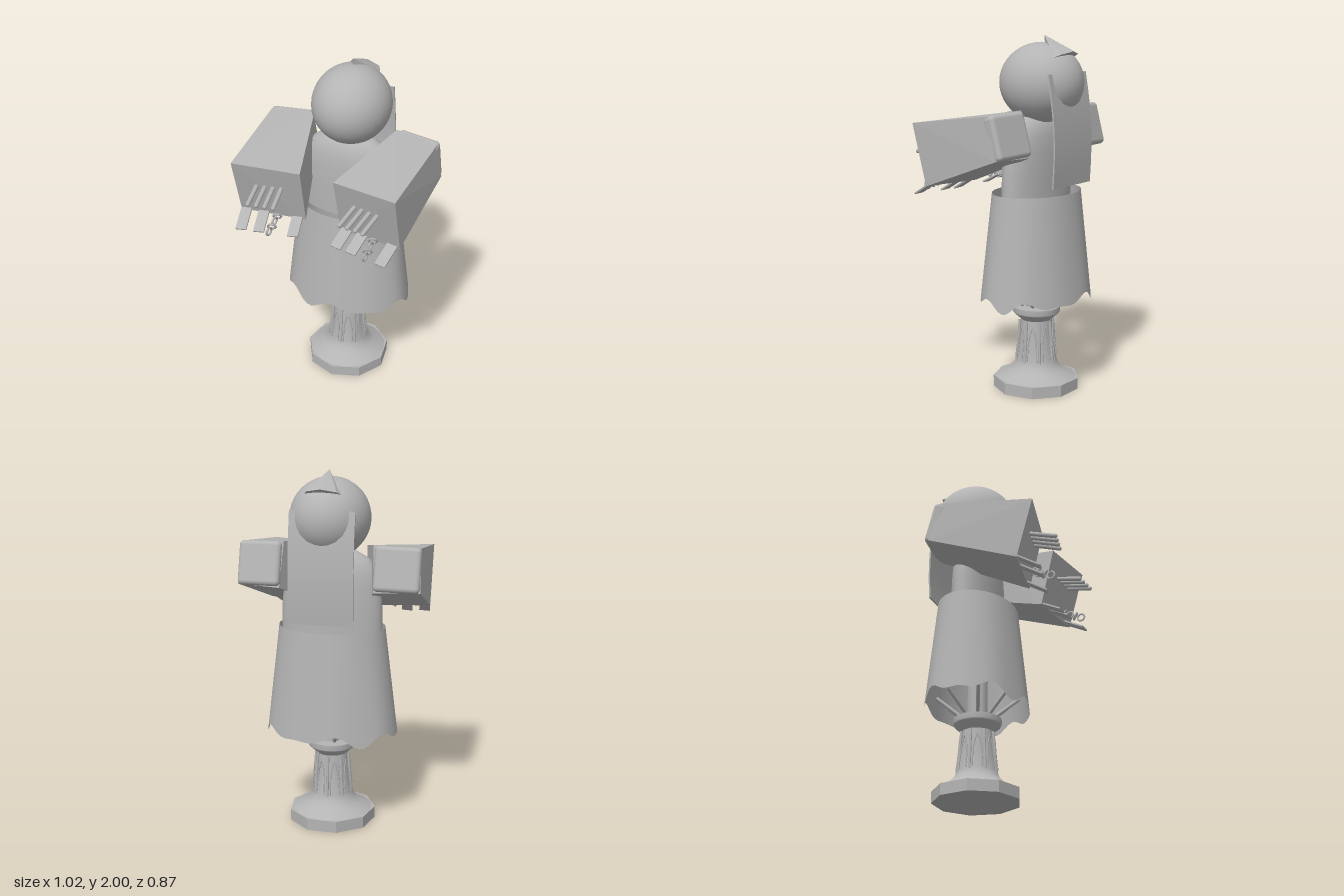
import * as THREE from 'three';
import { RoundedBoxGeometry } from 'three/addons/geometries/RoundedBoxGeometry.js';
import { ConvexGeometry } from 'three/addons/geometries/ConvexGeometry.js';

const AXIS_Z = -0.15;
const V = (x, y, z) => new THREE.Vector3(x, y, z);

export function createModel() {
  const model = new THREE.Group();
  model.name = 'robedFigureOnPedestal';
  const stone = new THREE.MeshStandardMaterial({ color: 0xb4b4b4 });
  stone.name = 'grey';
  const cloth = new THREE.MeshStandardMaterial({ color: 0xb4b4b4, side: THREE.DoubleSide });
  cloth.name = 'greySheet';

  const add = (name, geometry, x = 0, y = 0, z = 0, material = stone) => {
    const mesh = new THREE.Mesh(geometry, material);
    mesh.name = name;
    mesh.position.set(x, y, z);
    model.add(mesh);
    return mesh;
  };
  const lathe = (points, segments) =>
    new THREE.LatheGeometry(points.map(([r, y]) => new THREE.Vector2(r, y)), segments);
  const rod = (name, a, b, radius) =>
    add(name, new THREE.TubeGeometry(new THREE.LineCurve3(a, b), 1, radius, 8), 0, 0, 0, cloth);
  const around = (angle, r, y) => V(Math.sin(angle) * r, y, AXIS_Z + Math.cos(angle) * r);

  // Pedestal: slab, flared column and capital
  const slab = new THREE.CylinderGeometry(0.245, 0.245, 0.065, 9).toNonIndexed();
  slab.computeVertexNormals();
  add('pedestalSlab', slab, 0, 0.0325, AXIS_Z);
  add('pedestalColumn', lathe([[0.228, 0.064], [0.2, 0.08], [0.155, 0.105], [0.127, 0.135], [0.113, 0.17],
    [0.103, 0.24], [0.094, 0.32], [0.088, 0.4]], 18), 0, 0, AXIS_Z);
  add('pedestalCapital', lathe([[0, 0.395], [0.08, 0.395], [0.092, 0.405], [0.115, 0.425], [0.13, 0.438],
    [0.135, 0.445], [0.135, 0.475], [0.135, 0.475], [0, 0.475]], 18), 0, 0, AXIS_Z);

  // Pointed arches and slim posts around the column
  for (let i = 0; i < 8; i++) {
    const a = (i + 0.5) * Math.PI / 4;
    const arch = [[-0.24, 0.117, 0.17], [-0.22, 0.105, 0.27], [-0.14, 0.1, 0.325], [0, 0.096, 0.365],
      [0.14, 0.1, 0.325], [0.22, 0.105, 0.27], [0.24, 0.117, 0.17]].map(([t, r, y]) => around(a + t, r, y));
    add('columnArch', new THREE.TubeGeometry(new THREE.CatmullRomCurve3(arch), 18, 0.004, 5));
    rod('columnPost', around(a + Math.PI / 8, 0.112, 0.16), around(a + Math.PI / 8, 0.094, 0.395), 0.008);
  }

  // Stem with ribs spreading under the robe
  add('stem', new THREE.CylinderGeometry(0.06, 0.06, 0.72, 8), 0, 0.82, AXIS_Z);
  for (let i = 0; i < 8; i++) {
    const a = (i + 0.5) * Math.PI / 4;
    rod('robeRib', around(a, 0.09, 0.49), around(a, 0.23, 0.6), 0.011);
  }

  // Robe: oval cone, open at both ends, with a ragged hem
  const robe = new THREE.CylinderGeometry(1, 1, 1, 72, 10, true);
  const p = robe.attributes.position;
  for (let i = 0; i < p.count; i++) {
    const a = Math.atan2(p.getX(i), p.getZ(i));
    const down = 0.5 - p.getY(i);
    const hem = 0.545 + 0.022 * Math.sin(6 * a + 0.8) + 0.016 * Math.sin(9 * a + 2);
    p.setXYZ(i, Math.sin(a) * (0.298 + 0.073 * down), 1.14 + (hem - 1.14) * down,
      Math.cos(a) * (0.22 + 0.06 * down));
  }
  robe.computeVertexNormals();
  add('robe', robe, 0, 0, AXIS_Z, cloth);

  // Torso: flattened, with rounded shoulders
  const torso = lathe([[0, 1.1], [0.285, 1.1], [0.285, 1.1], [0.283, 1.25], [0.272, 1.38], [0.25, 1.46],
    [0.21, 1.52], [0.14, 1.56], [0, 1.58]], 40);
  torso.scale(1, 1, 0.43);
  add('torso', torso, 0, 0, AXIS_Z);

  // Head and crest
  const head = new THREE.SphereGeometry(0.22, 32, 20);
  head.scale(1, 1, 1.09);
  add('head', head, 0, 1.742, -0.18);
  add('crest', new ConvexGeometry([V(0, 2, -0.197), V(0, 1.95, -0.2), V(0, 1.915, -0.385),
    V(0.1, 1.885, -0.33), V(-0.1, 1.885, -0.33), V(0.082, 1.9, -0.362), V(-0.082, 1.9, -0.362)]));

  // Curved panel down the back
  const panel = new THREE.BoxGeometry(0.36, 0.61, 0.009, 1, 12, 1);
  const q = panel.attributes.position;
  for (let i = 0; i < q.count; i++) {
    const t = q.getY(i) / 0.61 + 0.5;
    q.setZ(i, q.getZ(i) - 0.38 - 0.014 * Math.sin(Math.PI * t) + 0.035 * t * t);
  }
  panel.computeVertexNormals();
  add('backPanel', panel, 0, 1.495, 0);

  // Arms: wide sleeves, fingers, straps and a short chain on each side
  for (const s of [-1, 1]) {
    const P = (x, y, z) => V(s * x, y, z);
    add('sleeve', new ConvexGeometry([
      P(0.5, 1.595, -0.19), P(0.25, 1.61, -0.225), P(0.512, 1.365, -0.25), P(0.262, 1.36, -0.285),
      P(0.475, 1.527, 0.347), P(0.097, 1.515, 0.28), P(0.475, 1.185, 0.255), P(0.105, 1.18, 0.2)]));

    const cap = add('sleeveEnd', new RoundedBoxGeometry(0.25, 0.245, 0.075, 3, 0.025), s * 0.382, 1.482, -0.232);
    cap.rotation.set(0.26, -s * 0.14, 0);

    for (let i = 0; i < 4; i++) {
      const x = 0.36 - i * 0.047;
      rod('finger', P(x, 1.392, 0.25), P(x - 0.025, 1.352, 0.43 - i * 0.007), 0.013);
      add('fingerTip', new THREE.SphereGeometry(0.013, 8, 6), s * (x - 0.025), 1.352, 0.43 - i * 0.007);
    }

    const straps = s < 0 ? [0.435, 0.335, 0.145] : [0.42, 0.235, 0.14];
    for (const x of straps) {
      const strap = add('strap', new THREE.BoxGeometry(0.062, 0.009, 0.16), s * x, 1.168, 0.22 + x * 0.19);
      strap.rotation.set(0.5, -s * 0.17, 0);
    }

    const chainX = s < 0 ? 0.245 : 0.325;
    for (let i = 0; i < 4; i++) {
      const link = add('chainLink', new THREE.TorusGeometry(0.022, 0.006, 6, 14), s * chainX, 1.205 - i * 0.013, 0.27 + i * 0.034);
      link.rotation.set(0.5, i % 2 ? 1.4 : 0.3, 0);
    }
  }
  return model;
}
